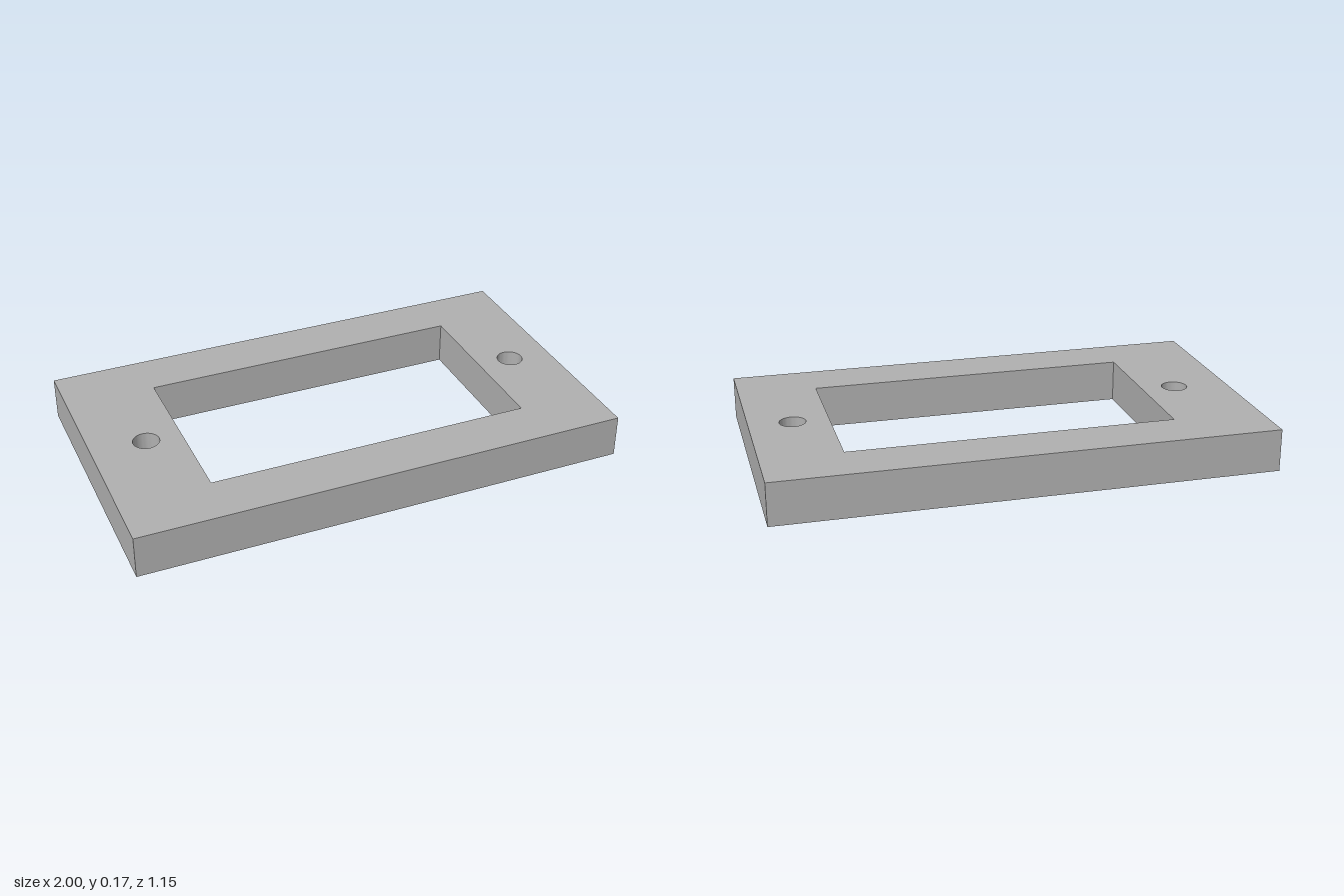
import * as THREE from 'three';
import { toCreasedNormals } from 'three/addons/utils/BufferGeometryUtils.js';

const HEIGHT = 0.173;

// Trace a rectangle onto a shape or path
function rectangle(path, x0, x1, halfDepth) {
  path.moveTo(x0, -halfDepth);
  path.lineTo(x1, -halfDepth);
  path.lineTo(x1, halfDepth);
  path.lineTo(x0, halfDepth);
  path.closePath();
  return path;
}

export function createModel() {
  const group = new THREE.Group();
  group.name = 'mountingFrame';

  const grey = new THREE.MeshStandardMaterial({ color: 0xb0b0b0 });
  grey.name = 'grey';

  // Plate outline with a slightly off-centre window
  const outline = rectangle(new THREE.Shape(), -1, 1, 0.575);
  outline.holes.push(rectangle(new THREE.Path(), -0.635, 0.68, 0.361));

  // Screw hole on each side of the window
  for (const x of [-0.777, 0.825]) {
    outline.holes.push(new THREE.Path().absarc(x, 0, 0.053, 0, Math.PI * 2, true));
  }

  // Extrude upwards from the ground
  const geometry = new THREE.ExtrudeGeometry(outline, {
    depth: HEIGHT, bevelEnabled: false, curveSegments: 24,
  });
  geometry.rotateX(-Math.PI / 2);

  const plate = new THREE.Mesh(toCreasedNormals(geometry, Math.PI / 6), grey);
  plate.name = 'framePlate';
  group.add(plate);
  return group;
}
